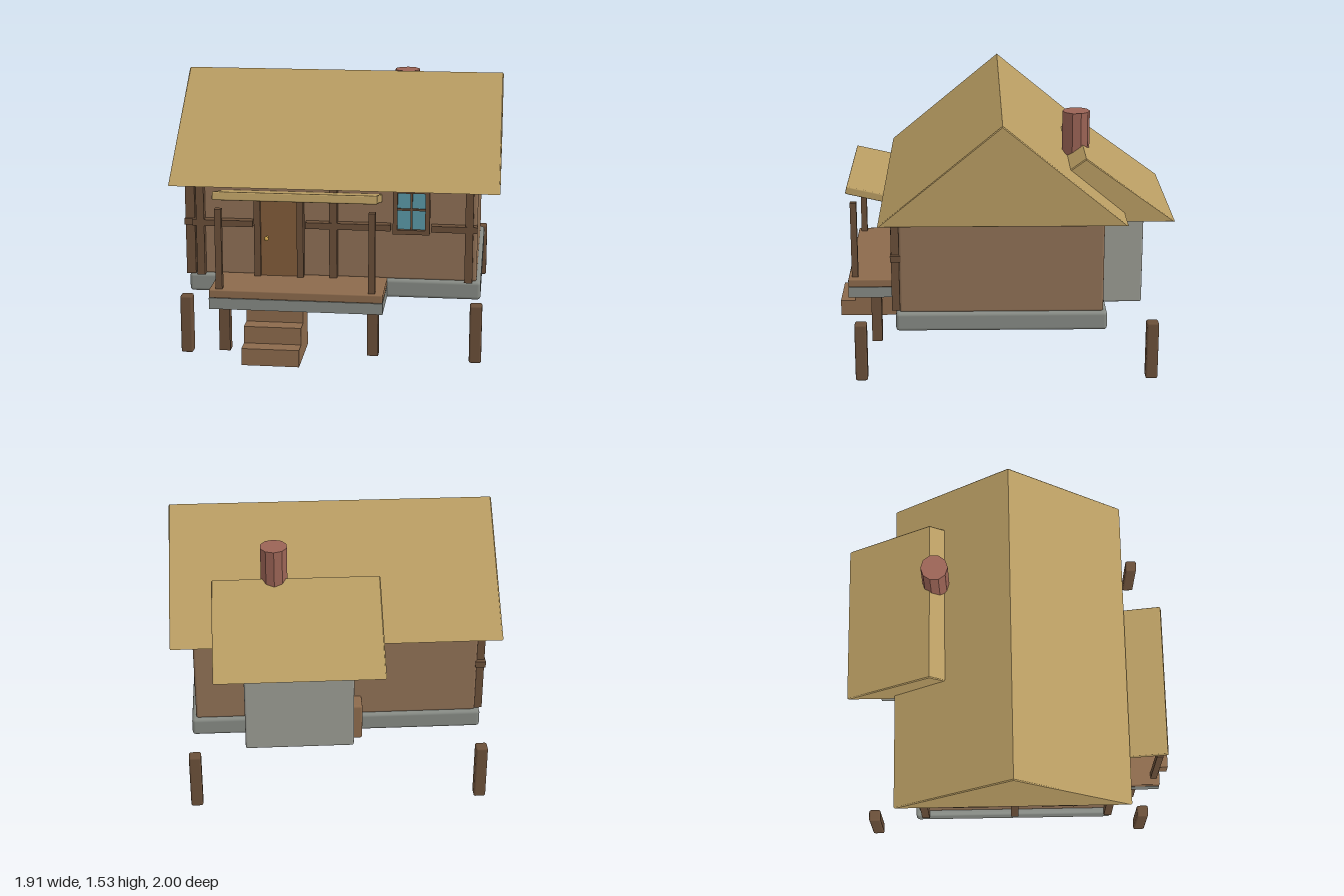
import * as THREE from 'three';
import { RoundedBoxGeometry } from 'three/addons/geometries/RoundedBoxGeometry.js';

const paint = (color) => new THREE.MeshStandardMaterial({ color });
const thatch = paint(0xb89c62), plaster = paint(0x8f7055), timber = paint(0x6a4f39);
const plank = paint(0x8c6a4c), stone = paint(0x868a84), annexe = paint(0x9a9b93);
const glass = paint(0x5b9aa8), doorWood = paint(0x825c3a), brass = paint(0xc9a14a), brick = paint(0x9a6355);

export function createModel() {
  const house = new THREE.Group();
  house.name = 'cottage';

  const add = (parent, name, geometry, material) => {
    const mesh = new THREE.Mesh(geometry, material);
    mesh.name = name;
    parent.add(mesh);
    return mesh;
  };

  // Box given by its extents; an optional radius rounds its edges
  const box = (parent, name, material, [x0, x1], [y0, y1], [z0, z1], r = 0) => {
    const size = [x1 - x0, y1 - y0, z1 - z0];
    const geo = r ? new RoundedBoxGeometry(...size, 2, r) : new THREE.BoxGeometry(...size);
    const mesh = add(parent, name, geo, material);
    mesh.position.set((x0 + x1) / 2, (y0 + y1) / 2, (z0 + z1) / 2);
    return mesh;
  };

  // Solid gable roof with its ridge along x and softly bevelled edges
  const gable = (name, [x0, x1], [zBack, zRidge, zFront], [yEave, yRidge]) => {
    const shape = new THREE.Shape();
    shape.moveTo(-zFront, yEave);
    shape.lineTo(-zBack, yEave);
    shape.lineTo(-zRidge, yRidge);
    shape.closePath();
    const b = 0.006;
    const geo = new THREE.ExtrudeGeometry(shape, {
      depth: x1 - x0 - 2 * b, bevelThickness: b, bevelSize: b, bevelOffset: -b, bevelSegments: 1,
    });
    geo.rotateY(Math.PI / 2); // shape x becomes -z, depth becomes x
    geo.translate(x0 + b, 0, 0);
    return add(house, name, geo, thatch);
  };

  // Body and main roof
  box(house, 'foundation', stone, [-0.86, 0.855], [0.3, 0.41], [-0.612, 0.597], 0.02);
  box(house, 'walls', plaster, [-0.83, 0.83], [0.405, 0.965], [-0.59, 0.575], 0.015);
  gable('mainRoof', [-0.955, 0.955], [-0.71, -0.01, 0.685], [0.96, 1.535]);

  // Rear annexe with its own roof, brackets and chimney
  box(house, 'annexe', annexe, [-0.09, 0.54], [0.35, 0.92], [-0.84, -0.5], 0.012);
  gable('annexeRoof', [-0.26, 0.71], [-1.0, -0.487, 0.026], [0.905, 1.28]);
  for (const x of [-0.065, 0.25])
    box(house, 'annexeBracket', plank, [x - 0.085, x + 0.085], [0.3, 0.53], [-0.7, -0.56], 0.015);
  const chimney = add(house, 'chimney', new THREE.CylinderGeometry(0.08, 0.08, 0.57, 10), brick);
  chimney.material.flatShading = true;
  chimney.position.set(0.35, 1.185, -0.45);

  // Corner piers
  for (const x of [-0.835, 0.835])
    for (const z of [-0.875, 0.8])
      box(house, 'cornerPier', timber, [x - 0.035, x + 0.035], [0, 0.345], [z - 0.035, z + 0.035], 0.012);

  // Porch
  const porch = new THREE.Group();
  porch.name = 'porch';
  house.add(porch);
  box(porch, 'porchSlab', stone, [-0.685, 0.31], [0.3, 0.365], [0.57, 0.91]);
  box(porch, 'porchDeck', plank, [-0.685, 0.31], [0.365, 0.415], [0.57, 0.91], 0.008);
  for (const x of [-0.623, 0.243])
    box(porch, 'porchLeg', timber, [x - 0.032, x + 0.032], [0, 0.305], [0.713, 0.775]);
  for (const x of [-0.628, 0.246])
    box(porch, 'porchPost', timber, [x - 0.019, x + 0.019], [0.41, 0.885], [0.852, 0.89]);
  const awning = box(porch, 'porchRoof', thatch, [-0.655, 0.277], [0.906, 0.954], [0.56, 0.915], 0.008);
  awning.rotation.x = -0.225;
  for (let i = 0; i < 3; i++)
    box(porch, 'step', plank, [-0.485, -0.155], [i * 0.1, (i + 1) * 0.1], [0.62, 1 - i * 0.093]);

  // Four-pane window, centred on x, facing +z from the wall plane z = 0
  const windowAt = (parent, x) => {
    const w = new THREE.Group();
    w.name = 'window';
    w.position.x = x;
    parent.add(w);
    for (const s of [-1, 1]) {
      const cx = s * 0.093, cy = 0.83 + s * 0.122;
      box(w, 'windowJamb', timber, [cx - 0.013, cx + 0.013], [0.695, 0.965], [-0.01, 0.06]);
      box(w, 'windowRail', timber, [-0.106, 0.106], [cy - 0.013, cy + 0.013], [-0.01, 0.058]);
    }
    box(w, 'windowPane', glass, [-0.085, 0.085], [0.71, 0.95], [0, 0.035]);
    box(w, 'verticalBar', timber, [-0.006, 0.006], [0.71, 0.95], [0, 0.045]);
    box(w, 'horizontalBar', timber, [-0.085, 0.085], [0.834, 0.846], [0, 0.045]);
  };

  // Timber framing of one wall: uprights, rails between openings, windows
  const framing = (name, posts, rails, windows) => {
    const wall = new THREE.Group();
    wall.name = name;
    house.add(wall);
    for (const x of posts)
      box(wall, 'upright', timber, [x - 0.023, x + 0.023], [0.41, 0.962], [-0.01, 0.045]);
    for (const span of rails) box(wall, 'rail', timber, span, [0.71, 0.747], [-0.01, 0.05]);
    for (const x of windows) windowAt(wall, x);
    return wall;
  };

  const front = framing('frontFraming', [-0.785, -0.003, 0.783],
    [[-0.83, -0.475], [-0.165, 0.33], [0.565, 0.83]], [0.45]);
  front.position.z = 0.575;
  const side = framing('sideFraming', [-0.55, 0, 0.575],
    [[-0.6, -0.375], [-0.155, 0.165], [0.375, 0.61]], [-0.265, 0.27]);
  side.position.x = -0.83;
  side.rotation.y = -Math.PI / 2;

  // Door
  for (const x of [-0.447, -0.196])
    box(front, 'doorJamb', timber, [x - 0.019, x + 0.019], [0.41, 0.885], [-0.01, 0.055]);
  box(front, 'door', doorWood, [-0.43, -0.213], [0.41, 0.88], [-0.01, 0.035]);
  const knob = add(front, 'doorKnob', new THREE.SphereGeometry(0.013, 12, 8), brass);
  knob.position.set(-0.39, 0.65, 0.075);
  const stem = add(front, 'doorKnobStem', new THREE.CylinderGeometry(0.006, 0.006, 0.05, 8), brass);
  stem.rotation.x = Math.PI / 2;
  stem.position.set(-0.39, 0.65, 0.05);

  return house;
}
